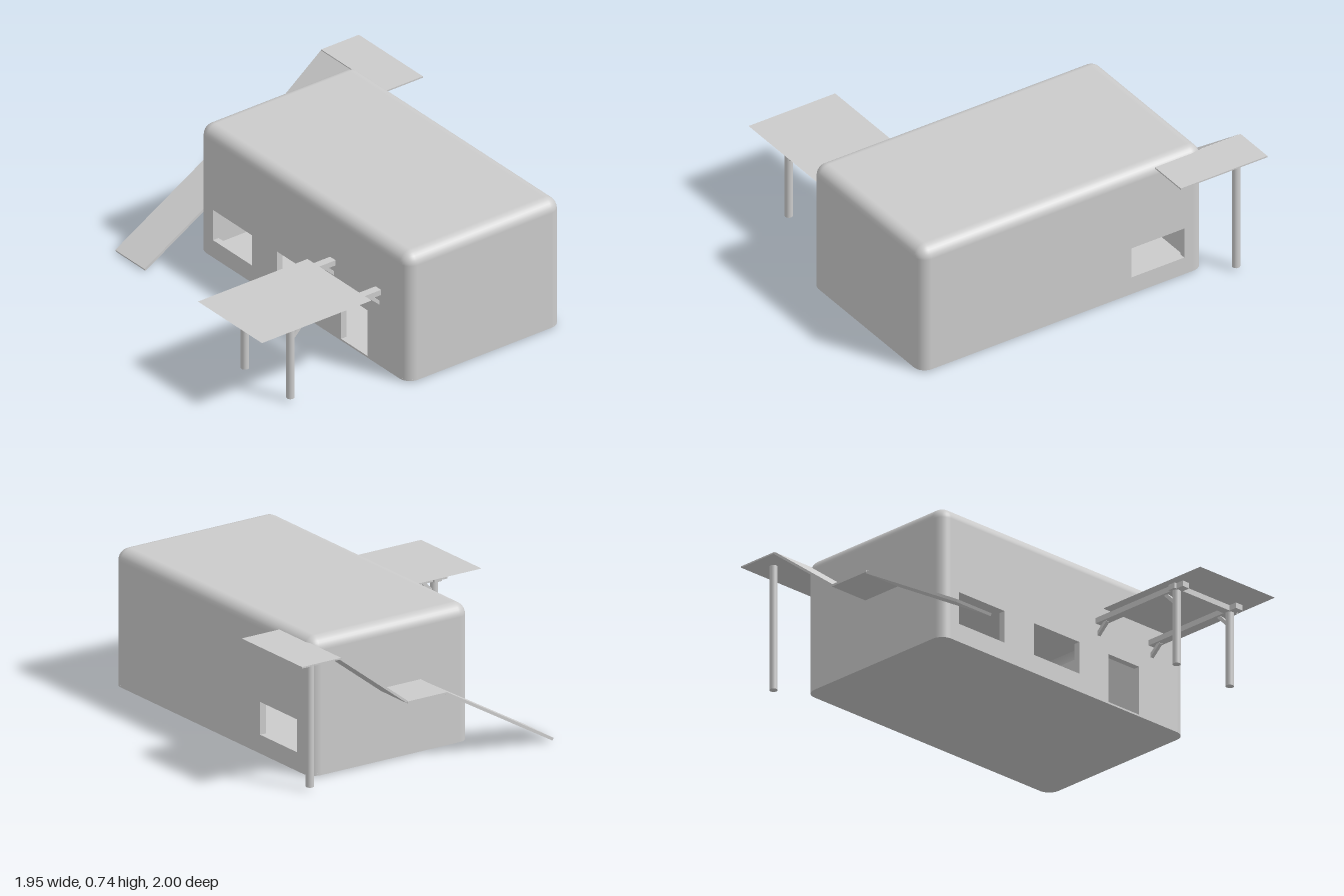
import * as THREE from 'three';

const material = new THREE.MeshStandardMaterial({ color: 0xcccccc, side: THREE.DoubleSide });

// Building extents
const X0 = -0.745, X1 = 0.97, Z0 = -0.78, Z1 = 0.2, Y0 = 0.01, Y1 = 0.74;
const R = 0.065, WALL = 0.035;

function add(parent, name, geometry, x = 0, y = 0, z = 0) {
  const mesh = new THREE.Mesh(geometry, material);
  mesh.name = name;
  mesh.position.set(x, y, z);
  parent.add(mesh);
  return mesh;
}

// Box given by its minimum and maximum on each axis
function block(parent, name, x0, x1, y0, y1, z0, z1) {
  const geometry = new THREE.BoxGeometry(x1 - x0, y1 - y0, z1 - z0);
  return add(parent, name, geometry, (x0 + x1) / 2, (y0 + y1) / 2, (z0 + z1) / 2);
}

// Bar or slab running between two points of the z-y plane
function slope(parent, name, x, width, thickness, [za, ya], [zb, yb]) {
  const geometry = new THREE.BoxGeometry(width, thickness, Math.hypot(zb - za, yb - ya));
  const mesh = add(parent, name, geometry, x, (ya + yb) / 2, (za + zb) / 2);
  mesh.rotation.x = -Math.atan2(yb - ya, zb - za);
  return mesh;
}

function post(parent, name, x, y0, y1, z) {
  add(parent, name, new THREE.CylinderGeometry(0.021, 0.021, y1 - y0, 24), x, (y0 + y1) / 2, z);
}

// Rounded corners, side walls and roof edge; the front and back flats stay open
function shellGeometry() {
  const steps = 8, perRing = 4 * (steps + 1);
  const corners = [[X1 - R, Z1 - R], [X0 + R, Z1 - R], [X0 + R, Z0 + R], [X1 - R, Z0 + R]];
  const positions = [], normals = [], index = [];
  for (let row = -1; row <= steps; row++) {
    const t = Math.max(row, 0) / steps * Math.PI / 2;
    const y = row < 0 ? Y0 : Y1 - R + R * Math.sin(t);
    corners.forEach(([cx, cz], c) => {
      for (let i = 0; i <= steps; i++) {
        const a = (c + i / steps) * Math.PI / 2;
        const nx = Math.cos(a) * Math.cos(t), nz = Math.sin(a) * Math.cos(t);
        positions.push(cx + R * nx, y, cz + R * nz);
        normals.push(nx, Math.sin(t), nz);
      }
    });
  }
  for (let row = 0; row <= steps; row++) {
    for (let i = 0; i < perRing; i++) {
      const openFlat = row === 0 && (i === steps || i === 3 * steps + 2);
      if (openFlat) continue;
      const a = row * perRing + i, b = row * perRing + (i + 1) % perRing;
      index.push(a, a + perRing, b, b, a + perRing, b + perRing);
    }
  }
  const geometry = new THREE.BufferGeometry();
  geometry.setAttribute('position', new THREE.Float32BufferAttribute(positions, 3));
  geometry.setAttribute('normal', new THREE.Float32BufferAttribute(normals, 3));
  geometry.setIndex(index);
  return geometry;
}

function rectangle(target, x0, x1, y0, y1) {
  target.moveTo(x0, y0);
  target.lineTo(x1, y0);
  target.lineTo(x1, y1);
  target.lineTo(x0, y1);
  target.closePath();
  return target;
}

// Flat wall with rectangular openings
function wallGeometry(openings) {
  const shape = rectangle(new THREE.Shape(), X0 + R, X1 - R, Y0, Y1 - R);
  for (const o of openings) shape.holes.push(rectangle(new THREE.Path(), ...o));
  return new THREE.ExtrudeGeometry(shape, { depth: WALL, bevelEnabled: false });
}

// Floor slab with rounded corners, laid flat
function floorGeometry() {
  const s = new THREE.Shape();
  const q = Math.PI / 2;
  s.absarc(X1 - R, -Z0 - R, R, 0, q);
  s.absarc(X0 + R, -Z0 - R, R, q, 2 * q);
  s.absarc(X0 + R, -Z1 + R, R, 2 * q, 3 * q);
  s.absarc(X1 - R, -Z1 + R, R, 3 * q, 4 * q);
  return new THREE.ExtrudeGeometry(s, { depth: 0.01, bevelEnabled: false, curveSegments: 8 }).rotateX(-q);
}

function createBuilding() {
  const building = new THREE.Group();
  building.name = 'building';
  const sideWindow = [-0.625, -0.305, 0.11, 0.285];
  const middleWindow = [-0.1, 0.22, 0.11, 0.285];
  const door = [0.425, 0.64, 0.02, 0.285];
  add(building, 'outerShell', shellGeometry());
  add(building, 'frontWall', wallGeometry([sideWindow, middleWindow, door]), 0, 0, Z1 - WALL);
  add(building, 'backWall', wallGeometry([sideWindow]), 0, 0, Z0);
  add(building, 'floor', floorGeometry(), 0, Y0, 0);
  block(building, 'roof', X0 + R, X1 - R, Y1 - WALL, Y1, Z0 + R, Z1 - R);
  // Inner faces of the side walls
  block(building, 'innerWallRight', X0 + 0.02, X0 + WALL, 0.02, Y1 - R, Z0 + R, Z1 - R);
  block(building, 'innerWallLeft', X1 - WALL, X1 - 0.02, 0.02, Y1 - R, Z0 + R, Z1 - R);
  return building;
}

function createPorch() {
  const porch = new THREE.Group();
  porch.name = 'porch';
  const postZ = 0.758;
  for (const x of [0.357, 0.73]) {
    post(porch, 'porchPost', x, 0.02, 0.425, postZ);
    block(porch, 'porchBeam', x - 0.0225, x + 0.0225, 0.425, 0.455, Z1 - 0.01, 0.825);
    slope(porch, 'postBrace', x, 0.02, 0.018, [postZ - 0.015, 0.37], [0.685, 0.428]);
    slope(porch, 'wallBrace', x, 0.02, 0.018, [Z1 - 0.005, 0.37], [0.26, 0.428]);
  }
  block(porch, 'porchCrossbeam', 0.32, 0.765, 0.425, 0.4545, postZ - 0.022, postZ + 0.022);
  // Thin canopy sheet on the beams
  const sheet = new THREE.PlaneGeometry(0.525, 0.695).rotateX(-Math.PI / 2);
  add(porch, 'canopy', sheet, 0.5475, 0.4565, 0.6525);
  return porch;
}

function createRamp() {
  const ramp = new THREE.Group();
  ramp.name = 'roofRamp';
  const x = -0.857, width = 0.24;
  slope(ramp, 'lowerRamp', x, width, 0.015, [0.545, 0.0085], [-0.11, 0.387]);
  block(ramp, 'landing', -0.98, X0 + 0.005, 0.383, 0.395, -0.35, -0.105);
  slope(ramp, 'upperRamp', x, width, 0.012, [-0.345, 0.387], [-0.76, 0.705]);
  block(ramp, 'topPlatform', -0.98, -0.455, 0.704, 0.712, -1, -0.76);
  post(ramp, 'platformPost', -0.873, 0.02, 0.705, -0.877);
  return ramp;
}

export function createModel() {
  const model = new THREE.Group();
  model.name = 'house';
  model.add(createBuilding(), createPorch(), createRamp());
  return model;
}
